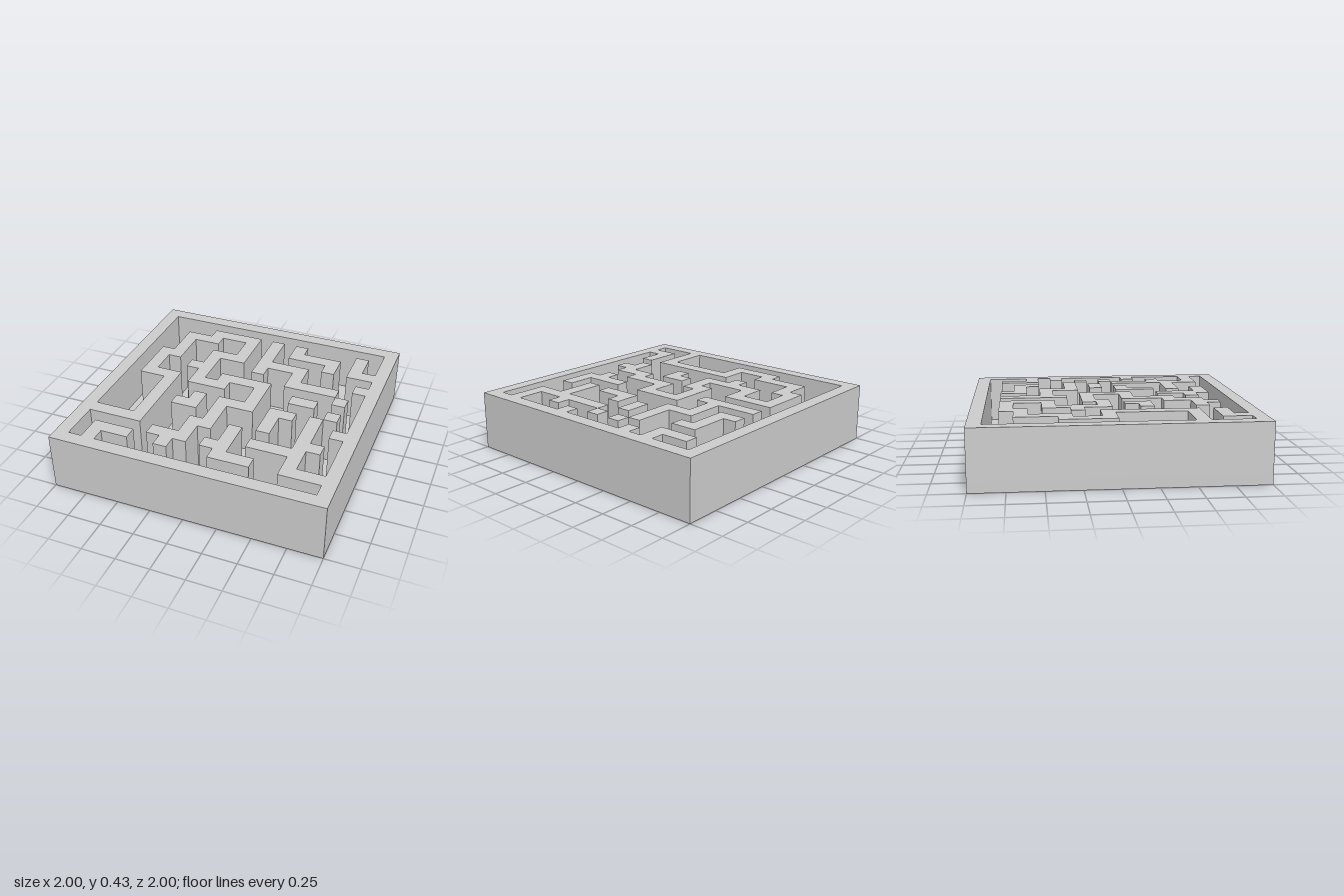
import * as THREE from 'three';

const CELL = 0.1;      // width of walls and corridors
const HEIGHT = 0.428;  // top of the walls
const FLOOR = 0.08;    // thickness of the base slab

// Right-angled outline: start corner (x, z), then the next x, next z, next x ... in cells
function trace(path, [x, z, ...steps]) {
  path.moveTo(x * CELL, z * CELL);
  steps.forEach((value, i) => {
    if (i % 2 === 0) x = value;
    else z = value;
    path.lineTo(x * CELL, z * CELL);
  });
  path.closePath();
  return path;
}

// Corridor outline inside the frame, following the walls that grow from it
const corridor = [
  -9, -9,
  // back and right side
  9, -6, 8, -8, 7, -5, 9, -4, 8, -3, 9, 2, 8, 3, 9, 7, 7, 5, 8, 4, 7, 1, 6, 5, 3, 6, 6, 8, 9,
  // front
  9, -7, 8, -5, 7, -8, 9, -9, 6,
  // one side of the long winding wall, out to its tip
  -5, -1, -7, -3, -6, -6, -4, -7, -2, -5, -4, -3, -5, -2, -4, 0, -1, -1, 1, 1, -1, 4, -2, 6, -4, 7,
  // and back along its other side
  -3, 8, -2, 7, -1, 5, 0, 2, 2, -2, -2, -1, -3, -4, -1, -8, -5, -7, -7, -4, -8, 0, -6, 5, -9,
];

// Free-standing walls
const islands = [
  [-3, 1, -2, 3, -4, 2, -3],
  [0, -8, 1, -5, 4, -3, 7, -2, 3, -4, 1, -3, 0],
  [7, -2, 8, -1, 7],
  [2, -8, 3, -7, 6, -5, 5, -6, 2],
  [4, -1, 6, 0, 4],
  [3, 1, 5, 2, 4, 4, 3],
  [1, 4, 2, 7, 4, 8, 1, 7, 0, 6, 1],
  [7, 0, 8, 1, 7],
];

export function createModel() {
  const group = new THREE.Group();
  group.name = 'maze';
  const material = new THREE.MeshStandardMaterial({ color: 0xcccccc });

  const add = (name, geometry) => {
    const mesh = new THREE.Mesh(geometry, material);
    mesh.name = name;
    group.add(mesh);
  };

  // Extrude a plan outline from the floor to the top of the walls
  const addWall = (name, shape) => {
    const geometry = new THREE.ExtrudeGeometry(shape, { depth: HEIGHT - FLOOR, bevelEnabled: false });
    geometry.rotateX(Math.PI / 2).translate(0, HEIGHT, 0);
    add(name, geometry);
  };

  // Base slab
  add('base', new THREE.BoxGeometry(2, FLOOR, 2).translate(0, FLOOR / 2, 0));

  // Frame with the walls joined to it
  const frame = trace(new THREE.Shape(), [-10, -10, 10, 10, -10]);
  frame.holes.push(trace(new THREE.Path(), corridor));
  addWall('frameAndJoinedWalls', frame);

  // Free-standing walls
  islands.forEach((outline, i) => addWall(`innerWall${i + 1}`, trace(new THREE.Shape(), outline)));

  return group;
}
